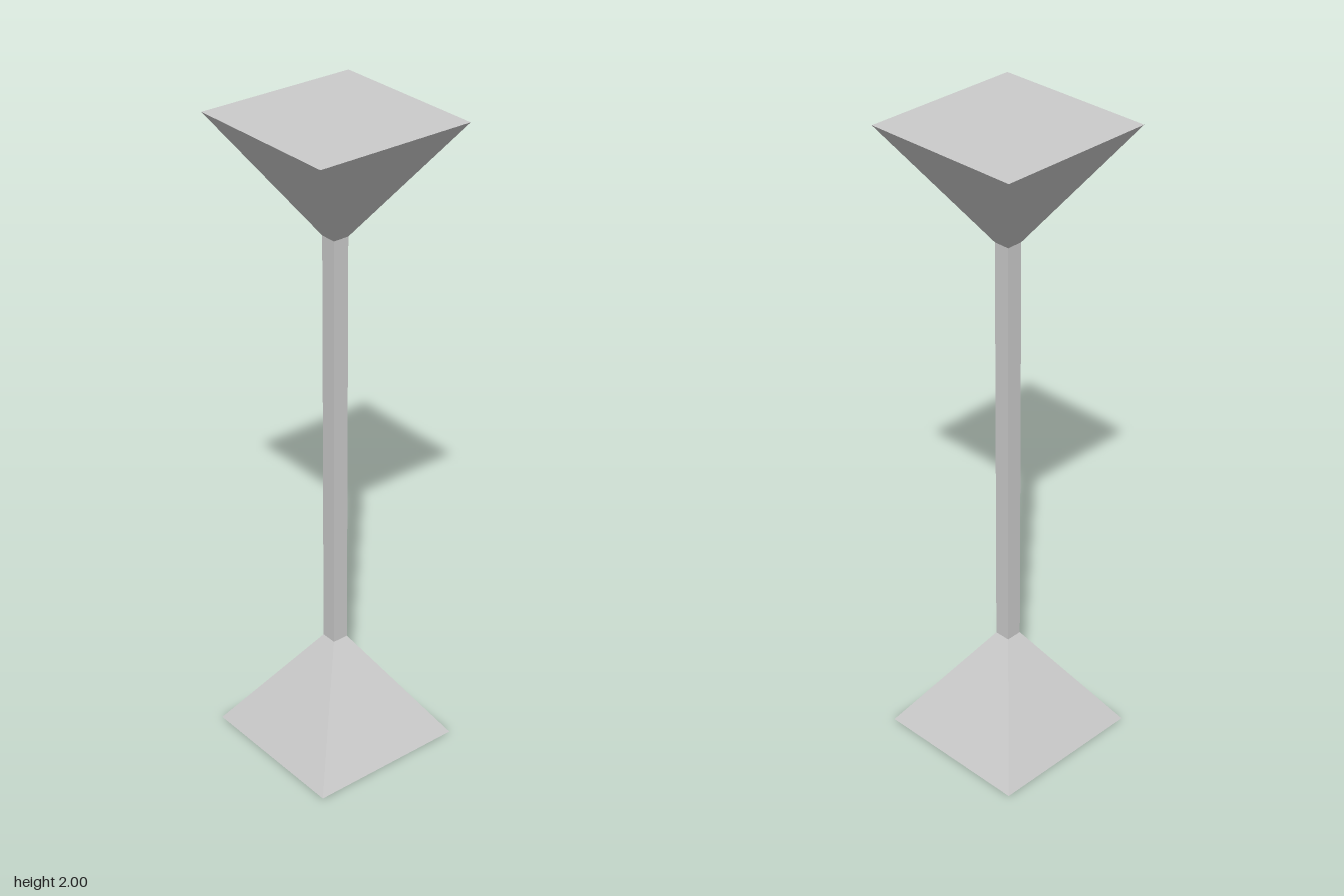
import * as THREE from 'three';

const HALF = 0.25;       // half width of the flared ends
const SHAFT_HALF = 0.025; // half width of the shaft
const FLARE = 0.34;      // height of each flared end
const HEIGHT = 2;

// Four-sided prism or frustum with its sides square to x and z
function squareFrustum(name, topHalf, bottomHalf, height, y, material, open = false) {
  const geometry = new THREE.CylinderGeometry(
    topHalf * Math.SQRT2, bottomHalf * Math.SQRT2, height, 4, 1, open);
  geometry.rotateY(Math.PI / 4);
  const mesh = new THREE.Mesh(geometry, material);
  mesh.name = name;
  mesh.position.y = y;
  return mesh;
}

export function createModel() {
  const group = new THREE.Group();
  group.name = 'pedestal';
  const material = new THREE.MeshStandardMaterial({ color: 0xcccccc, flatShading: true });

  // Pyramid foot, widest at the ground
  group.add(squareFrustum('base', SHAFT_HALF, HALF, FLARE, FLARE / 2, material));

  // Slender square shaft between the two flares
  group.add(squareFrustum('shaft', SHAFT_HALF, SHAFT_HALF, HEIGHT - 2 * FLARE, HEIGHT / 2, material, true));

  // Inverted pyramid with a flat square top
  group.add(squareFrustum('top', HALF, SHAFT_HALF, FLARE, HEIGHT - FLARE / 2, material));

  return group;
}
